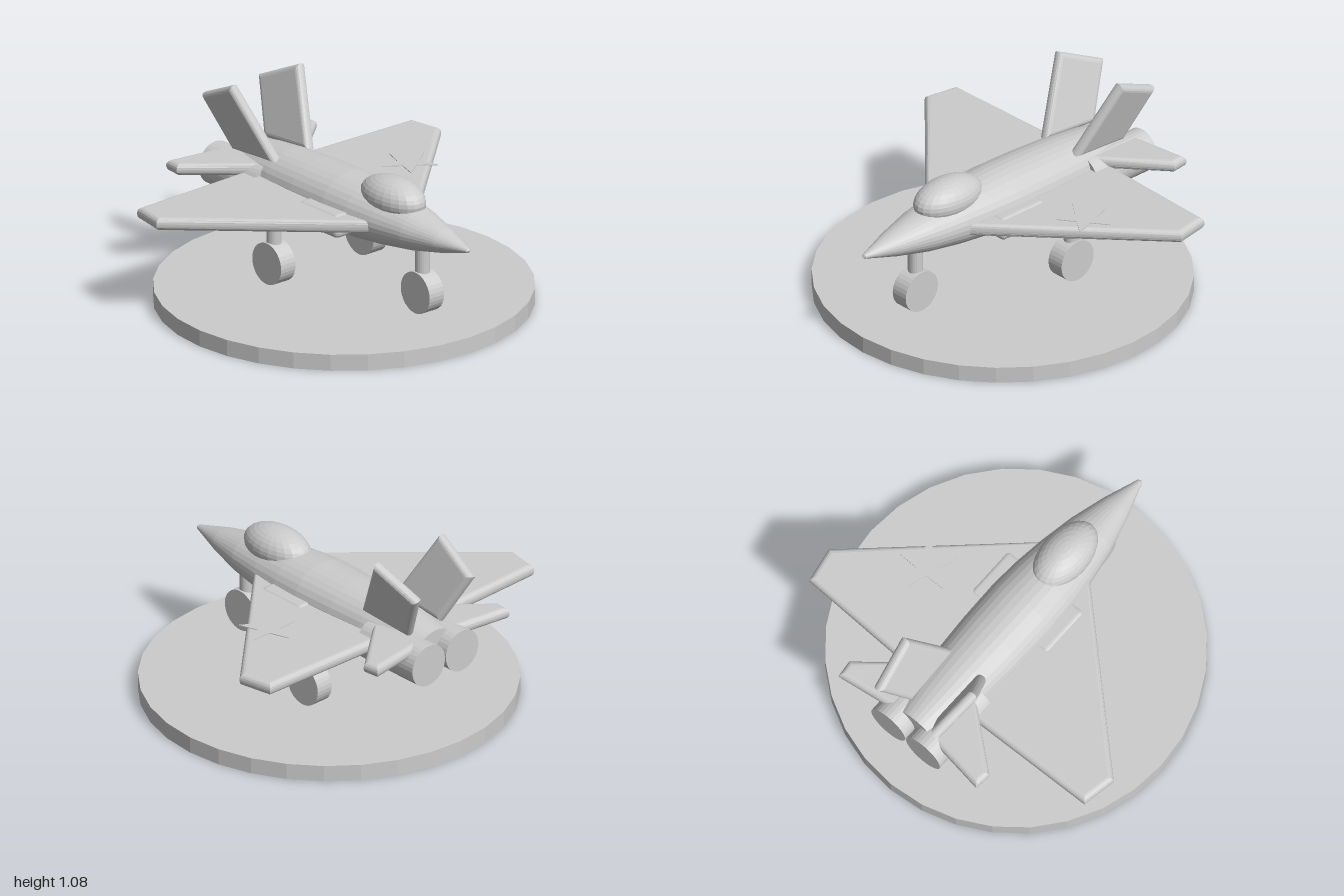
import * as THREE from 'three';
import { RoundedBoxGeometry } from 'three/addons/geometries/RoundedBoxGeometry.js';

export function createModel() {
  const model = new THREE.Group();
  model.name = 'jetOnStand';
  const grey = new THREE.MeshStandardMaterial({ color: 0xcccccc, flatShading: true });
  grey.name = 'light grey';

  const add = (name, geometry, x = 0, y = 0, z = 0) => {
    const mesh = new THREE.Mesh(geometry, grey);
    mesh.name = name;
    mesh.position.set(x, y, z);
    model.add(mesh);
    return mesh;
  };

  // Plate with rounded rim; the points give its outer outline
  const plate = (points, thickness, rim = 0.03) => {
    const shape = new THREE.Shape(points.map(([x, y]) => new THREE.Vector2(x, y)));
    const depth = thickness - 2 * rim;
    return new THREE.ExtrudeGeometry(shape, {
      depth, bevelEnabled: rim > 0, bevelThickness: rim, bevelSize: rim,
      bevelOffset: -rim, bevelSegments: 4,
    }).translate(0, 0, -depth / 2);
  };
  // Horizontal plate from [x, z] points
  const flatPlate = (points, side, thickness, rim) =>
    plate(points.map(([x, z]) => [x * side, -z]), thickness, rim).rotateX(-Math.PI / 2);

  // Display base
  add('base', new THREE.CylinderGeometry(1, 1, 0.09, 32), 0, 0.045, 0);

  // Fuselage: oval lathe from tail to nose, [radius, z]
  const profile = [
    [0, -0.81], [0.125, -0.81], [0.165, -0.62], [0.188, -0.42], [0.2, -0.2],
    [0.205, 0.05], [0.195, 0.22], [0.173, 0.4], [0.137, 0.6], [0.082, 0.8],
    [0.015, 0.99], [0, 1],
  ].map(([r, z]) => new THREE.Vector2(r, z));
  add('fuselage', new THREE.LatheGeometry(profile, 32).rotateX(Math.PI / 2).scale(1, 0.8, 1), 0, 0.575, 0);

  // Canopy
  add('canopy', new THREE.SphereGeometry(1, 24, 16).scale(0.13, 0.11, 0.218), 0, 0.7, 0.392);

  const wing = [[0.1, 0.46], [0.985, -0.36], [0.95, -0.555], [0.1, -0.58]];
  const tailplane = [[0.12, -0.47], [0.485, -0.775], [0.475, -0.87], [0.12, -0.82]];
  const fin = [[-0.395, -0.01], [-0.61, 0.4], [-0.89, 0.26], [-0.74, -0.04]];

  for (const side of [1, -1]) {
    const label = side > 0 ? 'left' : 'right';
    add(label + 'Wing', flatPlate(wing, side, 0.07), 0, 0.568, 0);
    add(label + 'Tailplane', flatPlate(tailplane, side, 0.066), 0, 0.617, 0);
    // Fins lean outwards
    const tail = add(label + 'Fin', plate(fin, 0.062, 0.028).rotateY(-Math.PI / 2), side * 0.12, 0.7, 0);
    tail.rotation.z = -side * 0.3;
    add(label + 'Engine', new THREE.CylinderGeometry(0.117, 0.117, 0.425, 32).rotateX(Math.PI / 2),
      side * 0.12, 0.538, -0.672);
    add(label + 'Intake', new RoundedBoxGeometry(0.15, 0.13, 0.315, 3, 0.03), side * 0.195, 0.545, 0.092);
  }

  // Star marking on the left wing
  const star = Array.from({ length: 10 }, (_, i) => {
    const r = i % 2 ? 0.061 : 0.155, a = (i * Math.PI) / 5;
    return [r * Math.sin(a), -r * Math.cos(a)];
  });
  add('starMarking', flatPlate(star, 1, 0.006, 0), 0.53, 0.604, -0.095);

  // Landing gear
  for (const [name, x, z] of [['nose', 0, 0.625], ['left', 0.32, -0.19], ['right', -0.32, -0.19]]) {
    add(name + 'Wheel', new THREE.CylinderGeometry(0.115, 0.115, 0.1, 32).rotateZ(Math.PI / 2), x, 0.24, z);
    add(name + 'Strut', new THREE.CylinderGeometry(0.04, 0.04, 0.16, 24), x, 0.403, z);
  }
  return model;
}
